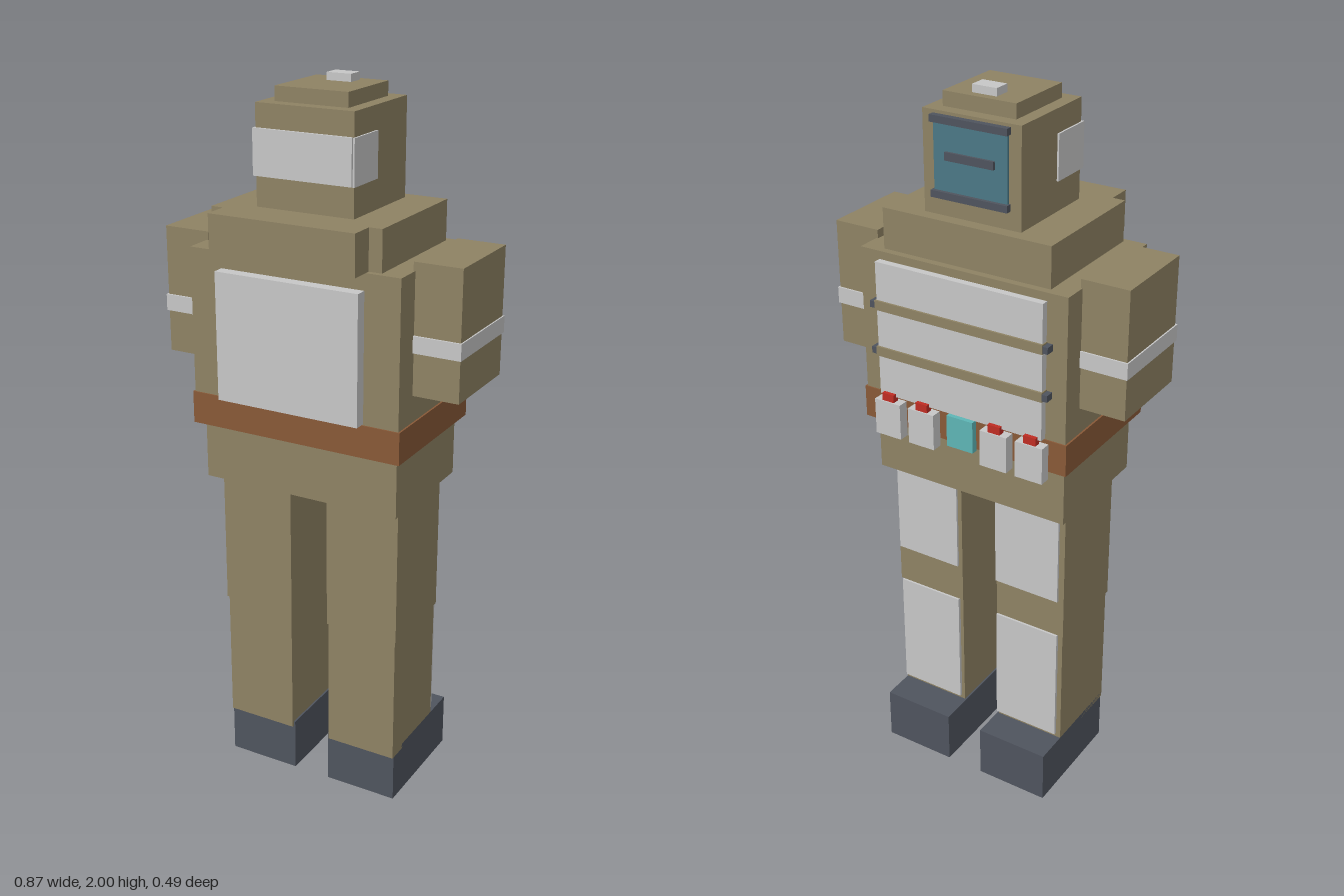
import * as THREE from 'three';

const mat = (name, color) => {
  const m = new THREE.MeshStandardMaterial({ color });
  m.name = name;
  return m;
};

export function createModel() {
  const tan = mat('tan suit', 0x908465);
  const white = mat('pale grey panel', 0xc9c9c9);
  const brown = mat('brown belt', 0x8a5a38);
  const dark = mat('dark slate', 0x50555f);
  const glass = mat('blue visor', 0x4c7a88);
  const teal = mat('teal buckle', 0x5fb8b8);
  const red = mat('red cap', 0xc22d24);

  const model = new THREE.Group();
  model.name = 'blockFigure';

  // Box given by its extents on each axis
  const box = (name, m, [x0, x1], [y0, y1], [z0, z1]) => {
    const mesh = new THREE.Mesh(new THREE.BoxGeometry(x1 - x0, y1 - y0, z1 - z0), m);
    mesh.position.set((x0 + x1) / 2, (y0 + y1) / 2, (z0 + z1) / 2);
    mesh.name = name;
    model.add(mesh);
  };
  const span = (s, a, b) => (s > 0 ? [a, b] : [-b, -a]);

  // Head, cap and lamp
  box('head', tan, [-0.14, 0.14], [1.68, 1.942], [-0.155, 0.125]);
  box('headCap', tan, [-0.104, 0.104], [1.942, 1.98], [-0.12, 0.09]);
  box('headLamp', white, [-0.035, 0.035], [1.98, 2], [-0.097, -0.05]);
  box('headBackPanel', white, [-0.14, 0.137], [1.76, 1.88], [0.125, 0.133]);
  for (const s of [1, -1]) box('headSidePanel', white, span(s, 0.14, 0.145), [1.76, 1.88], [0.01, 0.133]);

  // Visor with bars
  box('visor', glass, [-0.105, 0.105], [1.735, 1.925], [-0.162, -0.155]);
  for (const y of [1.737, 1.925]) box('visorBar', dark, [-0.11, 0.11], [y - 0.009, y + 0.009], [-0.172, -0.155]);
  box('visorSlot', dark, [-0.07, 0.07], [1.826, 1.847], [-0.169, -0.16]);

  // Torso, collar, pack
  box('torso', tan, [-0.305, 0.305], [1.17, 1.57], [-0.21, 0.19]);
  box('collar', tan, [-0.245, 0.245], [1.57, 1.68], [-0.19, 0.175]);
  box('packTop', tan, [-0.21, 0.208], [1.57, 1.68], [0.175, 0.245]);
  box('backPanel', white, [-0.21, 0.205], [1.175, 1.525], [0.19, 0.223]);

  // Chest panel with two cross strips
  box('chestPanel', white, [-0.247, 0.247], [1.175, 1.548], [-0.23, -0.21]);
  for (const y of [1.43, 1.3]) {
    box('chestStrip', tan, [-0.25, 0.25], [y - 0.013, y + 0.013], [-0.236, -0.21]);
    for (const s of [1, -1]) box('stripEnd', dark, span(s, 0.25, 0.265), [y - 0.009, y + 0.009], [-0.235, -0.21]);
  }

  // Belt, hips, pouches and buckle
  box('belt', brown, [-0.31, 0.31], [1.083, 1.172], [-0.214, 0.194]);
  box('hips', tan, [-0.29, 0.29], [0.918, 1.083], [-0.185, 0.165]);
  for (const x of [-0.219, -0.113, 0.11, 0.216]) {
    box('pouch', white, [x - 0.04, x + 0.04], [1.06, 1.162], [-0.245, -0.214]);
    box('pouchCap', red, [x - 0.018, x + 0.018], [1.162, 1.184], [-0.241, -0.222]);
  }
  box('buckle', teal, [-0.043, 0.037], [1.078, 1.168], [-0.232, -0.214]);

  // Arms, legs and boots
  for (const s of [1, -1]) {
    box('arm', tan, span(s, 0.3, 0.433), [1.245, 1.593], [-0.143, 0.114]);
    box('armBand', white, span(s, 0.3, 0.437), [1.36, 1.405], [-0.148, 0.12]);
    box('upperLeg', tan, span(s, 0.057, 0.272), [0.52, 0.918], [-0.14, 0.115]);
    box('lowerLeg', tan, span(s, 0.06, 0.268), [0.14, 0.52], [-0.135, 0.111]);
    box('boot', dark, span(s, 0.055, 0.268), [0, 0.155], [-0.23, 0.105]);
    const c = s > 0 ? 0.168 : -0.156;
    box('thighPlate', white, [c - 0.099, c + 0.099], [0.635, 0.916], [-0.147, -0.14]);
    box('shinPlate', white, [c - 0.098, c + 0.098], [0.168, 0.518], [-0.144, -0.135]);
  }
  return model;
}
